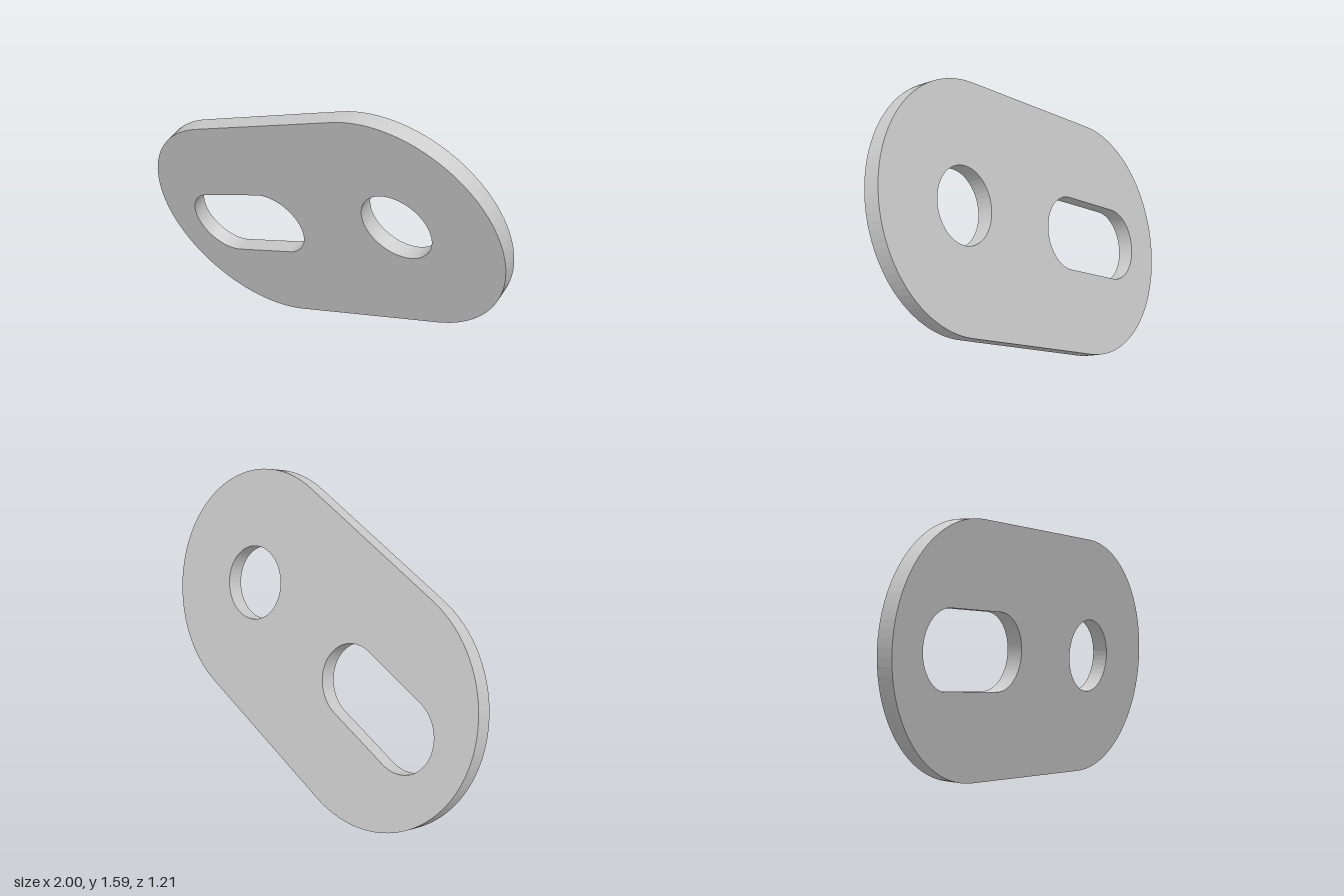
import * as THREE from 'three';

const END_RADIUS = 0.645;
const HOLE_RADIUS = 0.2;
const THICKNESS = 0.088;

// Adds a rounded slot outline running along x from x0 to x1
function obround(path, x0, x1, r) {
  path.absarc(x1, 0, r, -Math.PI / 2, Math.PI / 2, false);
  path.absarc(x0, 0, r, Math.PI / 2, Math.PI * 1.5, false);
  path.closePath();
  return path;
}

export function createModel() {
  const group = new THREE.Group();
  group.name = 'slottedLink';

  // Plate outline with a long slot at one end and a round hole at the other
  const outline = obround(new THREE.Shape(), -0.49, 0.49, END_RADIUS);
  const slot = obround(new THREE.Path(), -0.72, -0.32, HOLE_RADIUS);
  const hole = new THREE.Path().absarc(0.545, 0, HOLE_RADIUS, 0, Math.PI * 2, false);
  outline.holes.push(slot, hole);

  const geometry = new THREE.ExtrudeGeometry(outline, {
    depth: THICKNESS, bevelEnabled: false, curveSegments: 24,
  });
  geometry.translate(0, 0, -THICKNESS / 2);

  const plate = new THREE.Mesh(
    geometry,
    new THREE.MeshStandardMaterial({ color: 0xcccccc, flatShading: true })
  );
  plate.name = 'linkPlate';

  // Tilt: long axis and face normal of the plate in space
  const along = new THREE.Vector3(0.803, 0.331, 0.495).normalize();
  const normal = new THREE.Vector3(-0.418, -0.278, 0.865);
  const across = new THREE.Vector3().crossVectors(normal, along).normalize();
  normal.crossVectors(along, across);
  plate.quaternion.setFromRotationMatrix(new THREE.Matrix4().makeBasis(along, across, normal));
  plate.position.y = 0.795;

  group.add(plate);
  return group;
}
